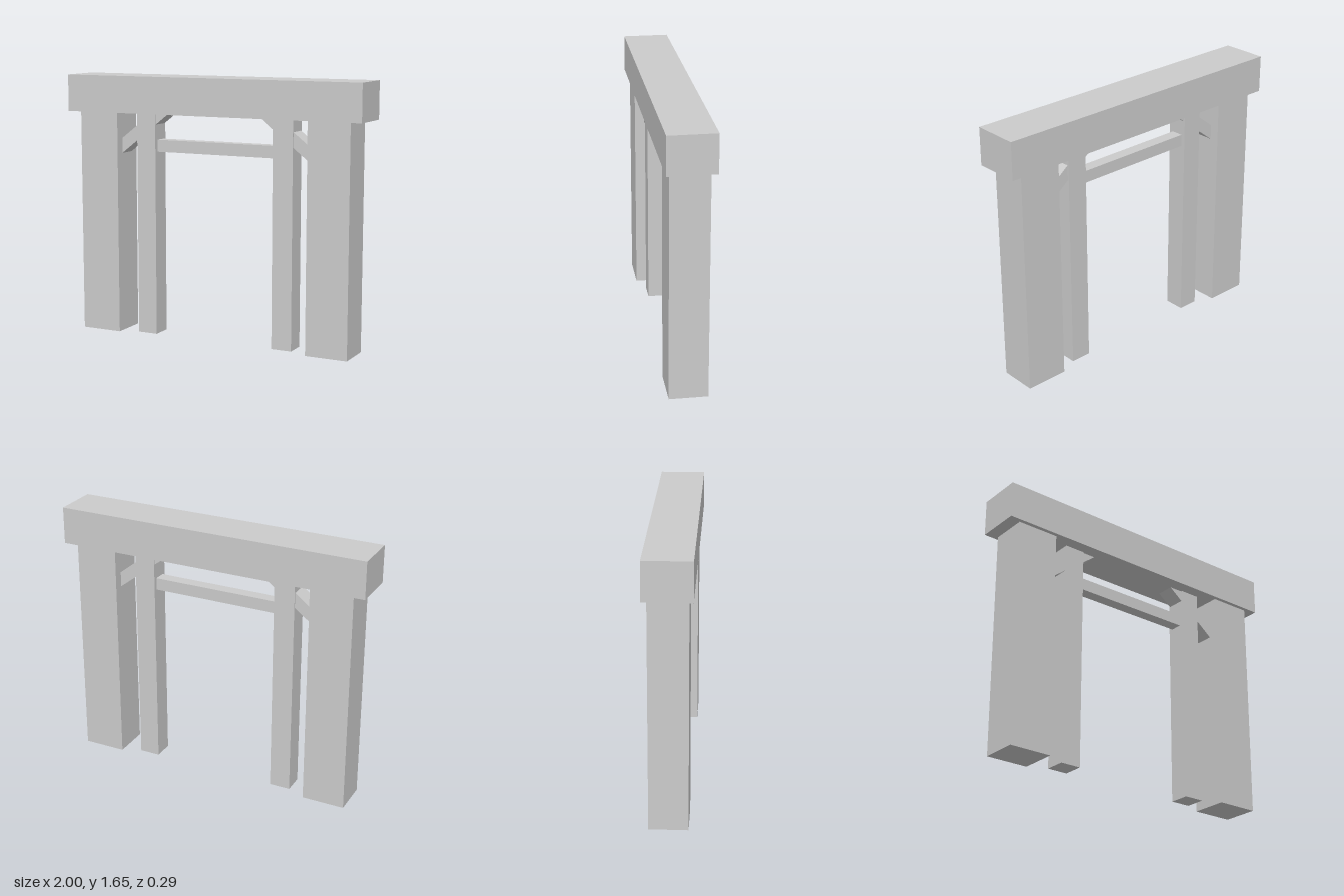
import * as THREE from 'three';

const material = new THREE.MeshStandardMaterial({ color: 0xcccccc, flatShading: true });

// Box given by its extents, centred on z = 0
function block(name, x0, x1, y0, y1, depth) {
  const mesh = new THREE.Mesh(new THREE.BoxGeometry(x1 - x0, y1 - y0, depth), material);
  mesh.position.set((x0 + x1) / 2, (y0 + y1) / 2, 0);
  mesh.name = name;
  return mesh;
}

// Diagonal brace, cut plumb against the outer post and level under the beam
function brace(name, side) {
  const outline = [[0.653, 1.16], [0.653, 1.255], [0.438, 1.422], [0.316, 1.422]];
  const shape = new THREE.Shape(outline.map(([x, y]) => new THREE.Vector2(side * x, y)));
  const depth = 0.114;
  const geometry = new THREE.ExtrudeGeometry(shape, { depth, bevelEnabled: false });
  geometry.translate(0, 0, -depth / 2);
  const mesh = new THREE.Mesh(geometry, material);
  mesh.name = name;
  return mesh;
}

export function createModel() {
  const model = new THREE.Group();
  model.name = 'postAndBeamFrame';

  // Heavy top beam and slim rail between the inner posts
  model.add(block('topBeam', -1, 1, 1.422, 1.655, 0.286));
  model.add(block('rail', -0.41, 0.41, 1.178, 1.254, 0.076));

  // Mirrored posts and braces
  for (const [label, side] of [['left', 1], ['right', -1]]) {
    const outer = block(label + 'OuterPost', 0.653, 0.922, 0, 1.422, 0.234);
    const inner = block(label + 'InnerPost', 0.407, 0.538, 0, 1.422, 0.13);
    outer.position.x *= side;
    inner.position.x *= side;
    model.add(outer, inner, brace(label + 'Brace', side));
  }
  return model;
}
